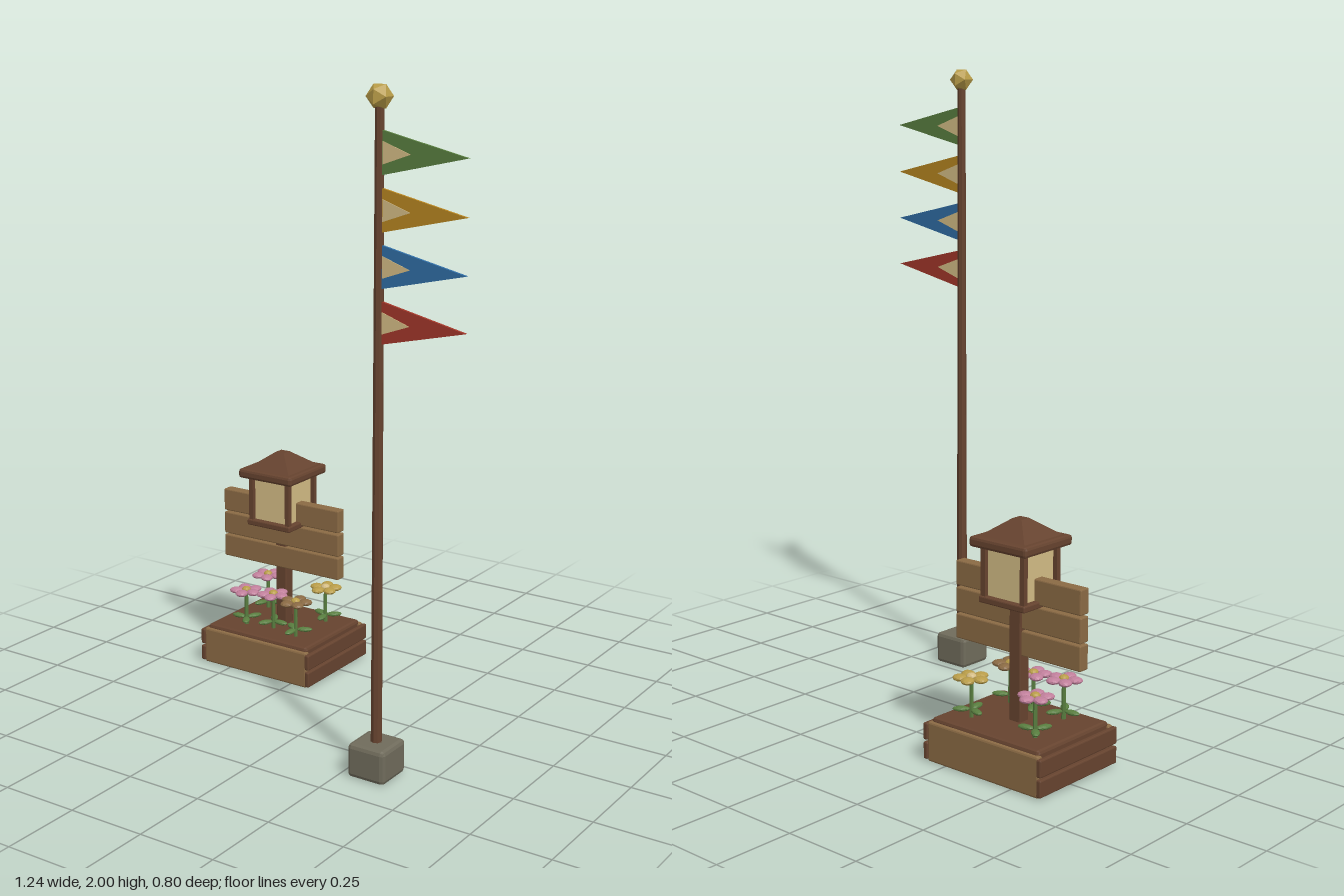
import * as THREE from 'three';
import { RoundedBoxGeometry } from 'three/addons/geometries/RoundedBoxGeometry.js';

const mat = (name, color) => {
  const m = new THREE.MeshStandardMaterial({ color });
  m.name = name;
  return m;
};

export function createModel() {
  const darkWood = mat('dark wood', 0x66432f);
  const plankWood = mat('plank wood', 0x8a6a44);
  const stone = mat('stone', 0x6f6b5b);
  const gold = mat('gold', 0xb89c48);
  const green = mat('green', 0x587d3f);
  const amber = mat('amber', 0xb58420);
  const blue = mat('blue', 0x2f6ca3);
  const red = mat('red', 0xa03629);
  const cream = mat('cream', 0xd2bb84);
  const pink = mat('pink', 0xc07f9b);

  const root = new THREE.Group();
  root.name = 'signPlanterAndFlagpole';

  const group = (parent, name, x = 0, y = 0, z = 0) => {
    const g = new THREE.Group();
    g.name = name;
    g.position.set(x, y, z);
    parent.add(g);
    return g;
  };
  // Adds a mesh with faceted normals
  const add = (parent, name, geo, material, x = 0, y = 0, z = 0) => {
    const g = geo.index ? geo.toNonIndexed() : geo;
    g.computeVertexNormals();
    const mesh = new THREE.Mesh(g, material);
    mesh.name = name;
    mesh.position.set(x, y, z);
    parent.add(mesh);
    return mesh;
  };
  // Box with chamfered edges
  const block = (parent, name, material, w, h, d, x, y, z, bevel = 0.005) =>
    add(parent, name, new RoundedBoxGeometry(w, h, d, 1, bevel), material, x, y, z);

  // ---- Flagpole ----
  const pole = group(root, 'flagpole', 0.34, 0, 0.335);
  block(pole, 'poleBase', stone, 0.126, 0.105, 0.126, 0, 0.0525, 0, 0.013);
  add(pole, 'poleShaft', new THREE.CylinderGeometry(0.013, 0.017, 1.85, 8), darkWood, 0, 1.02, 0);
  add(pole, 'poleFinial', new THREE.IcosahedronGeometry(0.038, 0), gold, 0, 1.966, 0);

  // Triangular pennant pointing along +x, centred in depth
  const pennant = (length, half, depth) => {
    const s = new THREE.Shape([
      new THREE.Vector2(0, -half), new THREE.Vector2(length, 0), new THREE.Vector2(0, half),
    ]);
    return new THREE.ExtrudeGeometry(s, { depth, bevelEnabled: false }).translate(0, 0, -depth / 2);
  };
  [green, amber, blue, red].forEach((m, i) => {
    const y = 1.817 - i * 0.155;
    add(pole, 'pennant', pennant(0.266, 0.06, 0.009), m, 0.011, y, 0);
    add(pole, 'pennantPatch', pennant(0.088, 0.031, 0.013), cream, 0.014, y, 0);
  });

  // ---- Planter ----
  const planter = group(root, 'planter', -0.393, 0, -0.226);
  block(planter, 'soil', darkWood, 0.405, 0.13, 0.32, 0, 0.07, 0, 0.01);
  for (const s of [-1, 1]) {
    block(planter, 'longBoard', plankWood, 0.418, 0.122, 0.022, 0, 0.062, s * 0.16, 0.006);
    for (const y of [0.033, 0.092]) {
      block(planter, 'endBoard', darkWood, 0.016, 0.052, 0.35, s * 0.214, y, 0, 0.004);
    }
  }

  // ---- Sign ----
  const sign = group(planter, 'sign');
  block(sign, 'signPost', darkWood, 0.042, 0.4, 0.04, 0, 0.33, -0.005, 0.004);
  [0.373, 0.454, 0.536].forEach((y) =>
    block(sign, 'signPlank', plankWood, 0.468, 0.076, 0.037, 0, y, 0, 0.004));

  // ---- Lantern ----
  const lantern = group(sign, 'lantern');
  block(lantern, 'lanternBase', darkWood, 0.172, 0.02, 0.172, 0, 0.5, 0, 0.004);
  add(lantern, 'lanternGlass', new THREE.BoxGeometry(0.134, 0.15, 0.134), cream, 0, 0.583, 0);
  for (const sx of [-1, 1]) for (const sz of [-1, 1]) {
    add(lantern, 'lanternCorner', new THREE.BoxGeometry(0.016, 0.155, 0.016), darkWood, sx * 0.073, 0.583, sz * 0.073);
  }
  block(lantern, 'roofEave', darkWood, 0.212, 0.032, 0.212, 0, 0.671, 0, 0.009);
  const roof = new THREE.CylinderGeometry(0.024, 0.122, 0.052, 4).rotateY(Math.PI / 4);
  add(lantern, 'roofTop', roof, darkWood, 0, 0.711, 0);

  // ---- Flowers ----
  const flowers = [
    [-0.125, -0.081, pink, gold, 0.2], [0.116, -0.081, gold, cream, 0.7],
    [-0.094, 0.086, pink, gold, 1.1], [0.11, 0.086, plankWood, gold, 0.5],
    [0.004, 0.066, pink, gold, 0.0],
  ];
  for (const [x, z, petalMat, heartMat, turn] of flowers) {
    const f = group(planter, 'flower', x, 0.13, z);
    f.rotation.y = turn;
    add(f, 'stem', new THREE.CylinderGeometry(0.006, 0.007, 0.125, 6), green, 0, 0.0625, 0);
    for (let i = 0; i < 5; i++) {
      const a = (i / 5) * Math.PI * 2;
      const petal = new THREE.IcosahedronGeometry(0.021, 1).scale(1.1, 0.5, 1);
      add(f, 'petal', petal, petalMat, Math.cos(a) * 0.033, 0.125, -Math.sin(a) * 0.033).rotation.y = a;
    }
    add(f, 'flowerHeart', new THREE.IcosahedronGeometry(0.016, 1).scale(1, 0.75, 1), heartMat, 0, 0.128, 0);
    for (let i = 0; i < 3; i++) {
      const a = (i / 3) * Math.PI * 2;
      const leaf = new THREE.IcosahedronGeometry(0.026, 1).scale(1, 0.3, 0.5);
      add(f, 'leaf', leaf, green, Math.cos(a) * 0.03, 0.03, -Math.sin(a) * 0.03).rotation.y = a;
    }
  }
  return root;
}
